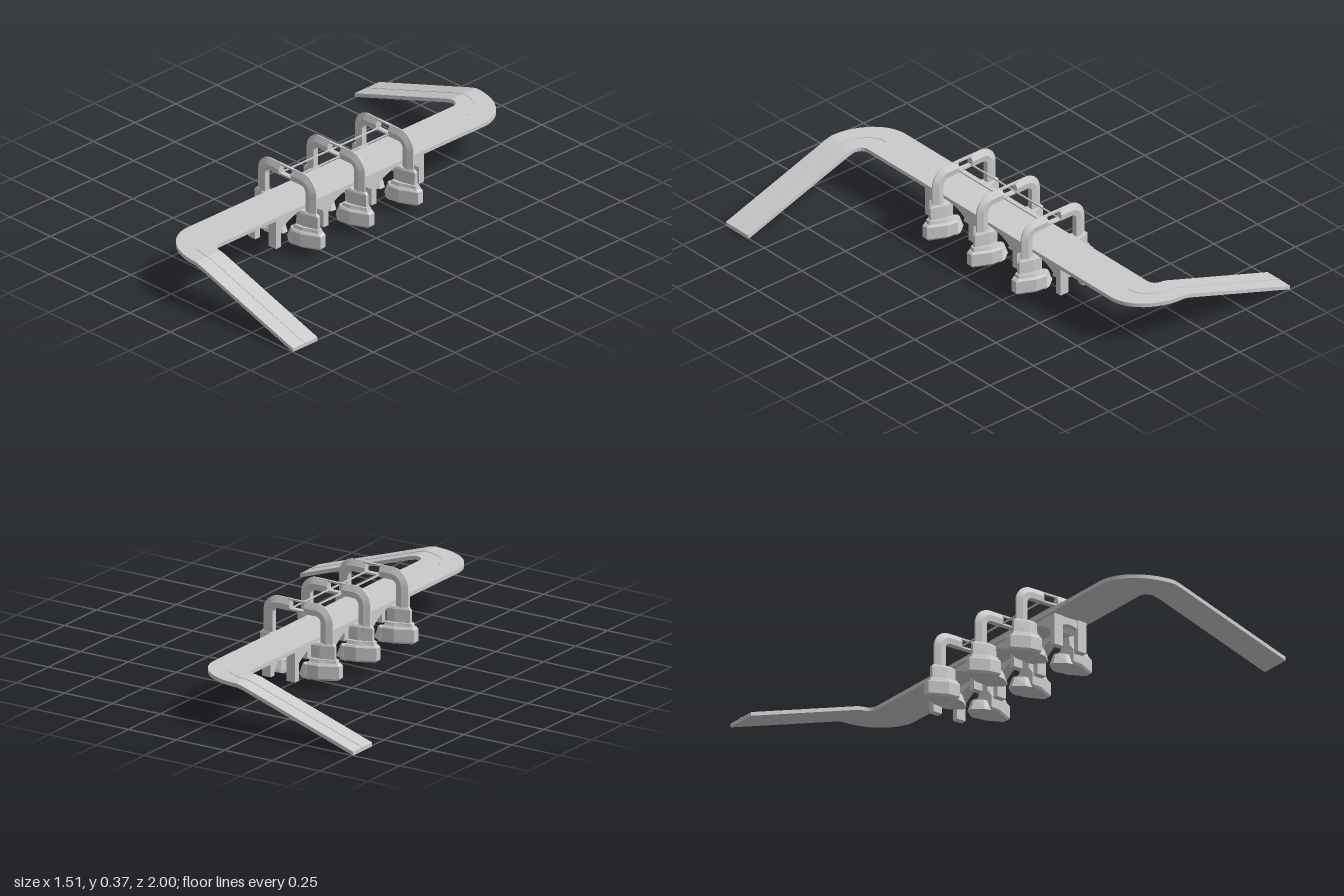
import * as THREE from 'three';

const material = new THREE.MeshStandardMaterial({ color: 0xcccccc, side: THREE.DoubleSide, flatShading: true });

function add(parent, name, geometry, x = 0, y = 0, z = 0) {
  const mesh = new THREE.Mesh(geometry, material);
  mesh.name = name;
  mesh.position.set(x, y, z);
  parent.add(mesh);
  return mesh;
}

// Skin a row of equal rings (arrays of [x, y, z]) and cap both ends.
function loft(rings) {
  const out = [];
  const n = rings[0].length;
  const tri = (...p) => p.forEach(v => out.push(...v));
  for (let i = 0; i < rings.length - 1; i++) {
    const r = rings[i], s = rings[i + 1];
    for (let j = 0; j < n; j++) {
      const k = (j + 1) % n;
      tri(r[j], r[k], s[j]);
      tri(r[k], s[k], s[j]);
    }
  }
  const a = rings[0], b = rings[rings.length - 1];
  for (let j = 1; j < n - 1; j++) {
    tri(a[0], a[j + 1], a[j]);
    tri(b[0], b[j], b[j + 1]);
  }
  const g = new THREE.BufferGeometry();
  g.setAttribute('position', new THREE.Float32BufferAttribute(out, 3));
  g.computeVertexNormals();
  return g;
}

// Stations across the S-shaped road: two edge points and the height of the top.
function roadStations() {
  const half = [];
  const station = (a, b, y) => half.push({ a, b, y });
  station([-0.103, 0.65], [0.103, 0.65], 0.215);
  for (let i = 0; i <= 14; i++) {
    const t = (i / 14) * Math.PI / 2, c = Math.cos(t), s = Math.sin(t);
    station([0.15 - 0.253 * c, 0.8 + 0.2 * s], [0.15 - 0.047 * c, 0.81 + 0.04 * s], 0.215);
  }
  station([0.18, 1], [0.18, 0.85], 0.208);
  station([0.755, 1], [0.755, 0.85], 0.018);
  const turn = p => [-p[0], -p[1]];
  const other = half.map(s => ({ a: turn(s.b), b: turn(s.a), y: s.y })).reverse();
  return [other, half];
}

function roadGeometry(stations, thickness) {
  return loft(stations.map(({ a, b, y }) => [
    [a[0], y - thickness, a[1]], [b[0], y - thickness, b[1]],
    [b[0], y, b[1]], [a[0], y, a[1]]
  ]));
}

// Narrow raised strip along the middle of the bend and ramp.
function stripe(stations) {
  return roadGeometry(stations.map(({ a, b, y }) => {
    const mid = [(a[0] + b[0]) / 2, (a[1] + b[1]) / 2];
    const len = Math.hypot(b[0] - a[0], b[1] - a[1]);
    const d = [(b[0] - a[0]) / len * 0.005, (b[1] - a[1]) / len * 0.005];
    return { a: [mid[0] - d[0], mid[1] - d[1]], b: [mid[0] + d[0], mid[1] + d[1]], y: y + 0.002 };
  }), 0.003);
}

// Tier of a pier: flat inner end, pointed outer end, sloping from one size to the next.
function tier(levels) {
  return loft(levels.map(([y, x0, x1, w]) => {
    const xm = x0 + (x1 - x0) * 0.4;
    return [[x0, -w], [x0, w], [xm, w * 0.9], [x1, w * 0.25], [x1, -w * 0.25], [xm, -w * 0.9]]
      .map(([x, z]) => [x, y, z]);
  }));
}

// Half of a tower arch: pointed section swept up the leg and round the shoulder.
function archHalf() {
  const section = [[0.027, -0.003], [0.027, 0.003], [0, 0.017], [-0.027, 0.014],
    [-0.027, -0.014], [0, -0.017]];
  const ring = (cx, cy, t) => section.map(([u, v]) =>
    [cx + u * Math.cos(t), cy + u * Math.sin(t), -v]);
  const rings = [ring(0.153, 0.19, 0)];
  for (let i = 0; i <= 10; i++) {
    const t = (i / 10) * Math.PI / 2;
    rings.push(ring(0.1 + 0.053 * Math.cos(t), 0.29 + 0.053 * Math.sin(t), t));
  }
  rings.push(ring(0.037, 0.343, Math.PI / 2));
  return loft(rings);
}

// Side girder with three shallow arches between its four columns.
function girderGeometry() {
  const s = new THREE.Shape();
  s.moveTo(-0.45, 0.2);
  for (let i = 0; i < 4; i++) {
    const z = -0.435 + i * 0.29;
    s.lineTo(z - 0.015, i ? 0.13 : 0.2);
    s.lineTo(z - 0.015, 0.05);
    s.lineTo(z + 0.015, 0.05);
    if (i < 3) {
      s.lineTo(z + 0.015, 0.13);
      s.quadraticCurveTo(z + 0.145, 0.235, z + 0.275, 0.13);
    }
  }
  s.lineTo(0.45, 0.2);
  const g = new THREE.ExtrudeGeometry(s, { depth: 0.046, bevelEnabled: false, curveSegments: 14 });
  return g.rotateY(-Math.PI / 2).translate(0.087, 0, 0);
}

// Arched brace joining the two columns below the deck.
function braceGeometry() {
  const s = new THREE.Shape();
  s.moveTo(-0.05, 0.2);
  s.lineTo(-0.05, 0.15);
  s.quadraticCurveTo(0, 0.18, 0.05, 0.15);
  s.lineTo(0.05, 0.2);
  return new THREE.ExtrudeGeometry(s, { depth: 0.02, bevelEnabled: false }).translate(0, 0, -0.01);
}

function createTower() {
  const tower = new THREE.Group();
  tower.name = 'tower';
  for (const turn of [0, Math.PI]) {
    const side = new THREE.Group();
    side.name = 'towerSide';
    side.rotation.y = turn;
    add(side, 'archLeg', archHalf());
    add(side, 'pierFooting', tier([[0.04, 0.09, 0.212, 0.055], [0.05, 0.085, 0.222, 0.063],
      [0.107, 0.085, 0.222, 0.063], [0.116, 0.087, 0.212, 0.057]]));
    add(side, 'pierStep', tier([[0.116, 0.087, 0.207, 0.05], [0.132, 0.087, 0.203, 0.045]]));
    add(side, 'pierShaft', tier([[0.13, 0.087, 0.195, 0.032], [0.19, 0.087, 0.195, 0.03],
      [0.2, 0.1, 0.184, 0.024]]));
    // Sloping toe on the inner side of the footing
    add(side, 'innerToe', tier([[0.037, 0.09, 0.012, 0.055], [0.05, 0.09, 0.017, 0.052],
      [0.09, 0.09, 0.03, 0.035]].map(([y, a, b, w]) => [y, a, b, -w])));
    tower.add(side);
  }
  // Open frame at the crown
  add(tower, 'crownTopRail', new THREE.BoxGeometry(0.1, 0.008, 0.012), 0, 0.364, 0);
  add(tower, 'crownBottomRail', new THREE.BoxGeometry(0.1, 0.009, 0.024), 0, 0.321, 0);
  return tower;
}

export function createModel() {
  const model = new THREE.Group();
  model.name = 'bridge';

  const [back, front] = roadStations();
  add(model, 'roadDeck', roadGeometry([...back, ...front], 0.018));
  add(model, 'frontRoadStripe', stripe(front.slice(1)));
  add(model, 'backRoadStripe', stripe(back.slice(0, -1)));

  // Towers along the straight deck
  for (const z of [-0.295, 0, 0.295]) {
    const tower = createTower();
    tower.position.z = z;
    model.add(tower);
  }

  // Cables between the tower crowns, and the girders below the deck
  for (const side of [-1, 1]) {
    add(model, 'cable', new THREE.BoxGeometry(0.006, 0.006, 0.59), side * 0.036, 0.325, 0);
    add(model, 'girder', girderGeometry()).rotation.y = side > 0 ? 0 : Math.PI;
  }
  for (let i = 0; i < 4; i++) add(model, 'crossBrace', braceGeometry(), 0, 0, -0.435 + i * 0.29);

  return model;
}
